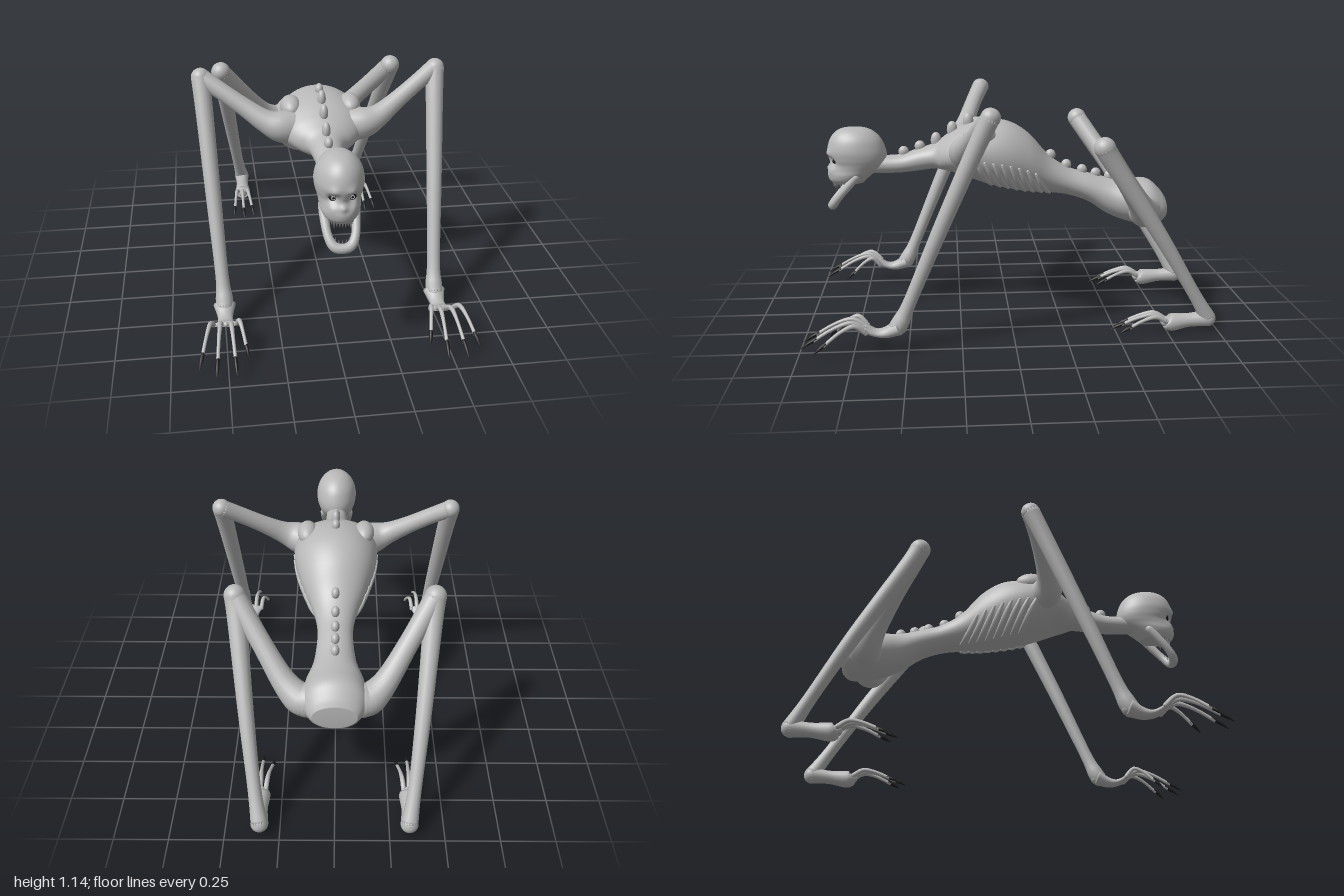
import * as THREE from 'three';
import { mergeGeometries } from 'three/addons/utils/BufferGeometryUtils.js';

const mat = (name, color) => Object.assign(new THREE.MeshStandardMaterial({ color }), { name });
const V = (x, y, z) => new THREE.Vector3(x, y, z);

// smooth interpolation through rows of numbers; t runs from 0 to rows.length - 1
function sample(rows, t) {
  const n = rows.length - 1, k = Math.min(Math.floor(t), n - 1), f = t - k;
  const [a, b, c, d] = [Math.max(k - 1, 0), k, k + 1, Math.min(k + 2, n)].map(i => rows[i]);
  return b.map((_, i) => b[i] + 0.5 * f * (c[i] - a[i] + f * (2 * a[i] - 5 * b[i] + 4 * c[i] - d[i]
    + f * (3 * (b[i] - c[i]) + d[i] - a[i]))));
}

// closed skin over rings given by point(t, angle)
function loft(point, tMax, nu, nv) {
  const pos = [], index = [];
  for (let i = 0; i <= nu; i++)
    for (let j = 0; j < nv; j++) pos.push(...point(tMax * i / nu, j / nv * Math.PI * 2));
  for (const i of [0, nu]) {
    const c = [0, 0, 0];
    for (let j = 0; j < nv; j++) for (let q = 0; q < 3; q++) c[q] += pos[(i * nv + j) * 3 + q] / nv;
    pos.push(...c);
  }
  const c0 = (nu + 1) * nv;
  for (let j = 0; j < nv; j++) {
    const k = (j + 1) % nv, e = nu * nv;
    index.push(c0, k, j, c0 + 1, e + j, e + k);
    for (let i = 0; i < nu; i++) {
      const a = i * nv + j, b = i * nv + k;
      index.push(a, b, a + nv, b, b + nv, a + nv);
    }
  }
  const g = new THREE.BufferGeometry();
  g.setAttribute('position', new THREE.Float32BufferAttribute(pos, 3));
  g.setIndex(index);
  g.computeVertexNormals();
  return g;
}

function blob(x, y, z, a, b = a, c = a) {
  const g = new THREE.SphereGeometry(1, 24, 16).scale(a, b, c).translate(x, y, z);
  g.deleteAttribute('uv');
  return g;
}

// tapering limb through rows [x, y, z, radius, second radius], with round ends
function limb(rows, sides = 18, steps = 6) {
  const R = rows.map(r => [r[0], r[1], r[2], r[3], r[4] ?? r[3]]), n = R.length - 1;
  const body = loft((t, a) => {
    const [x, y, z, ra, rb] = sample(R, t);
    const p = sample(R, Math.max(t - 0.02, 0)), q = sample(R, Math.min(t + 0.02, n));
    const T = V(q[0] - p[0], q[1] - p[1], q[2] - p[2]).normalize();
    const S = V(0, 1, 0).cross(T).normalize(), U = T.clone().cross(S);
    return V(x, y, z).addScaledVector(S, ra * Math.cos(a)).addScaledVector(U, rb * Math.sin(a)).toArray();
  }, n, n * steps, sides);
  const ends = [R[0], R[n]].map(r => blob(r[0], r[1], r[2], Math.min(r[3], r[4])));
  return mergeGeometries([body, ...ends]);
}

// neck, chest, waist and pelvis: z, top, bottom, half width
const TORSO = [
  [0.70, 0.83, 0.74, 0.05], [0.55, 0.83, 0.74, 0.056], [0.45, 0.86, 0.75, 0.066], [0.37, 0.885, 0.76, 0.085],
  [0.33, 0.91, 0.755, 0.13], [0.28, 0.945, 0.745, 0.172], [0.2, 0.985, 0.715, 0.2], [0.1, 1.0, 0.68, 0.205],
  [0, 0.99, 0.655, 0.19], [-0.1, 0.93, 0.637, 0.155], [-0.2, 0.82, 0.63, 0.11], [-0.3, 0.755, 0.615, 0.086],
  [-0.4, 0.725, 0.58, 0.086], [-0.5, 0.70, 0.515, 0.102], [-0.6, 0.692, 0.475, 0.135], [-0.7, 0.69, 0.46, 0.145],
  [-0.76, 0.645, 0.462, 0.125], [-0.79, 0.605, 0.49, 0.1],
];
function torsoPoint(t, a, grow = 0) {
  const [z, top, bot, w] = sample(TORSO, t);
  return [-Math.cos(a) * (w + grow), (top + bot) / 2 + Math.sin(a) * ((top - bot) / 2 + grow), z];
}
function torsoT(z) {
  const k = TORSO.findIndex(r => r[0] < z) - 1;
  return k + (TORSO[k][0] - z) / (TORSO[k][0] - TORSO[k + 1][0]);
}

// skull: y, front z, back z, half width
const SKULL = [
  [0.972, 0.77, 0.75, 0.008], [0.965, 0.82, 0.70, 0.04], [0.945, 0.855, 0.66, 0.07], [0.91, 0.88, 0.628, 0.095],
  [0.86, 0.893, 0.608, 0.107], [0.82, 0.888, 0.603, 0.104], [0.79, 0.88, 0.612, 0.096], [0.765, 0.888, 0.635, 0.09],
  [0.74, 0.895, 0.67, 0.087], [0.715, 0.89, 0.70, 0.077], [0.695, 0.875, 0.72, 0.06],
];
function skullPoint(t, a) {
  const [y, f, b, w] = sample(SKULL, t);
  const x = w * Math.cos(a);
  let z = (f + b) / 2 + (f - b) / 2 * Math.sin(a);
  const bump = (cx, cy, r) => Math.exp(-((Math.abs(x) - cx) ** 2 + (y - cy) ** 2) / (r * r));
  if (Math.sin(a) > 0)
    z += 0.012 * bump(0, 0.775, 0.018) + 0.01 * bump(0.04, 0.845, 0.02) + 0.01 * bump(0.05, 0.765, 0.02)
      - 0.026 * bump(0.04, 0.812, 0.019);
  return [x, y, z];
}

export function createModel() {
  const root = new THREE.Group();
  const skin = mat('greySkin', 0xb9b9b9), claw = mat('blackClaw', 0x1c1c1c);
  const tooth = mat('tooth', 0x808080), iris = mat('paleIris', 0xc8c8c8);
  const add = (name, geo, material = skin, parent = root) => {
    const m = new THREE.Mesh(geo, material);
    m.name = name;
    parent.add(m);
    return m;
  };

  add('torso', loft(torsoPoint, TORSO.length - 1, 102, 48));

  // row of vertebrae
  for (const z of [0.52, 0.44, 0.36, 0.28, 0.2, 0.11, -0.21, -0.29, -0.37, -0.44, -0.51]) {
    const [, y] = torsoPoint(torsoT(z), Math.PI / 2);
    add('vertebra', blob(0, y + 0.008, z, 0.02, z > 0.15 && z < 0.4 ? 0.042 : 0.028, 0.026));
  }

  // head
  add('skull', loft(skullPoint, SKULL.length - 1, 80, 80));
  add('jaw', limb([[0.07, 0.73, 0.755, 0.02], [0.068, 0.69, 0.79, 0.02], [0.06, 0.63, 0.842, 0.019],
    [0.038, 0.59, 0.872, 0.022], [0, 0.58, 0.88, 0.022], [-0.038, 0.59, 0.872, 0.022],
    [-0.06, 0.63, 0.842, 0.019], [-0.068, 0.69, 0.79, 0.02], [-0.07, 0.73, 0.755, 0.02]]));
  for (let i = -5; i <= 5; i++) {
    const a = i * 0.23, len = Math.abs(i) === 3 ? 0.036 : 0.024;
    add('upperTooth', new THREE.ConeGeometry(0.006, len, 8).rotateX(Math.PI)
      .translate(0.054 * Math.sin(a), 0.698 - len / 2, 0.805 + 0.065 * Math.cos(a)), tooth);
    if (Math.abs(i) < 4) add('lowerTooth', new THREE.ConeGeometry(0.005, 0.024, 8)
      .translate(0.05 * Math.sin(a * 1.4), 0.607 + 0.0022 * i * i, 0.872 - 0.0028 * i * i), tooth);
  }

  for (const s of [1, -1]) {
    const side = s > 0 ? 'left' : 'right';
    const mirror = rows => rows.map(([x, ...r]) => [x * s, ...r]);

    // eye
    add(side + 'Eye', blob(s * 0.04, 0.813, 0.85, 0.018), claw);
    add(side + 'Iris', new THREE.TorusGeometry(0.0075, 0.002, 8, 20).translate(s * 0.04, 0.813, 0.866), iris);

    // ribs, running down the flank and back under the belly
    for (let i = 0; i < 8; i++) {
      const rows = [];
      for (let k = 0; k <= 5; k++) {
        const a = -0.15 - k * 0.2, t = torsoT(0.17 - i * 0.042 - k * 0.016);
        const p = torsoPoint(t, s > 0 ? Math.PI - a : a, 0.002);
        rows.push([...p, 0.004 + 0.010 * Math.sin((k + 0.6) / 6 * Math.PI)]);
      }
      add(side + 'Rib', limb(rows, 8, 3));
    }
    add(side + 'ShoulderBlade', blob(s * 0.14, 0.943, 0.15, 0.05, 0.05, 0.08));

    // finger or toe with a claw
    const digit = (group, name, base, tip, lift) => {
      const at = (f, up) => V(...base).lerp(V(...tip), f).add(V(0, up, 0)).toArray();
      add(name, limb(mirror([[...base, 0.012], [...at(0.22, lift), 0.011], [...at(0.5, lift * 0.95), 0.008],
        [...at(0.8, lift * 0.4), 0.008]]), 10, 4), skin, group);
      add(name + 'Claw', limb(mirror([[...at(0.76, lift * 0.5), 0.008], [...at(0.88, lift * 0.3), 0.008],
        [...tip, 0.0015]]), 10, 4), claw, group);
    };

    // front leg
    const arm = new THREE.Group();
    arm.name = side + 'FrontLeg';
    root.add(arm);
    add('upperArm', limb(mirror([[0.12, 0.86, 0.2, 0.085], [0.2, 0.875, 0.225, 0.075], [0.27, 0.905, 0.22, 0.054],
      [0.36, 0.965, 0.19, 0.043], [0.47, 1.04, 0.15, 0.04], [0.555, 1.095, 0.115, 0.043]])), skin, arm);
    add('forearm', limb(mirror([[0.555, 1.095, 0.118, 0.044], [0.545, 0.95, 0.185, 0.041], [0.525, 0.6, 0.338, 0.036],
      [0.505, 0.25, 0.485, 0.031], [0.5, 0.15, 0.53, 0.04], [0.5, 0.118, 0.55, 0.04]])), skin, arm);
    add('hand', limb(mirror([[0.5, 0.12, 0.54, 0.052, 0.036], [0.5, 0.095, 0.6, 0.036, 0.026],
      [0.5, 0.095, 0.65, 0.038, 0.016], [0.5, 0.12, 0.70, 0.062, 0.013]])), skin, arm);
    [[0.055, 0.125, 0.92], [0.02, 0.052, 0.985], [-0.02, -0.035, 0.98], [-0.052, -0.092, 0.87]].forEach(([b, x, z]) =>
      digit(arm, 'finger', [0.5 + b, 0.115, 0.69], [0.5 + x, 0.045, z], 0.055));

    // hind leg
    const leg = new THREE.Group();
    leg.name = side + 'HindLeg';
    root.add(leg);
    add('thigh', limb(mirror([[0.12, 0.55, -0.67, 0.08], [0.165, 0.56, -0.66, 0.073], [0.235, 0.625, -0.615, 0.056],
      [0.33, 0.76, -0.525, 0.047], [0.42, 0.89, -0.435, 0.048], [0.45, 0.935, -0.405, 0.048]])), skin, leg);
    add('shank', limb(mirror([[0.45, 0.935, -0.405, 0.05], [0.44, 0.85, -0.457, 0.045], [0.4, 0.5, -0.69, 0.036],
      [0.362, 0.2, -0.872, 0.031], [0.34, 0.065, -0.952, 0.04]])), skin, leg);
    add('foot', limb(mirror([[0.34, 0.06, -0.952, 0.041], [0.342, 0.053, -0.86, 0.034], [0.345, 0.045, -0.77, 0.043],
      [0.345, 0.05, -0.745, 0.038, 0.025]])), skin, leg);
    for (const d of [-1, 0, 1])
      digit(leg, 'toe', [0.35 + d * 0.025, 0.06, -0.74], [0.352 + d * 0.056, 0.02, d ? -0.51 : -0.475], 0.036);
  }
  return root;
}
